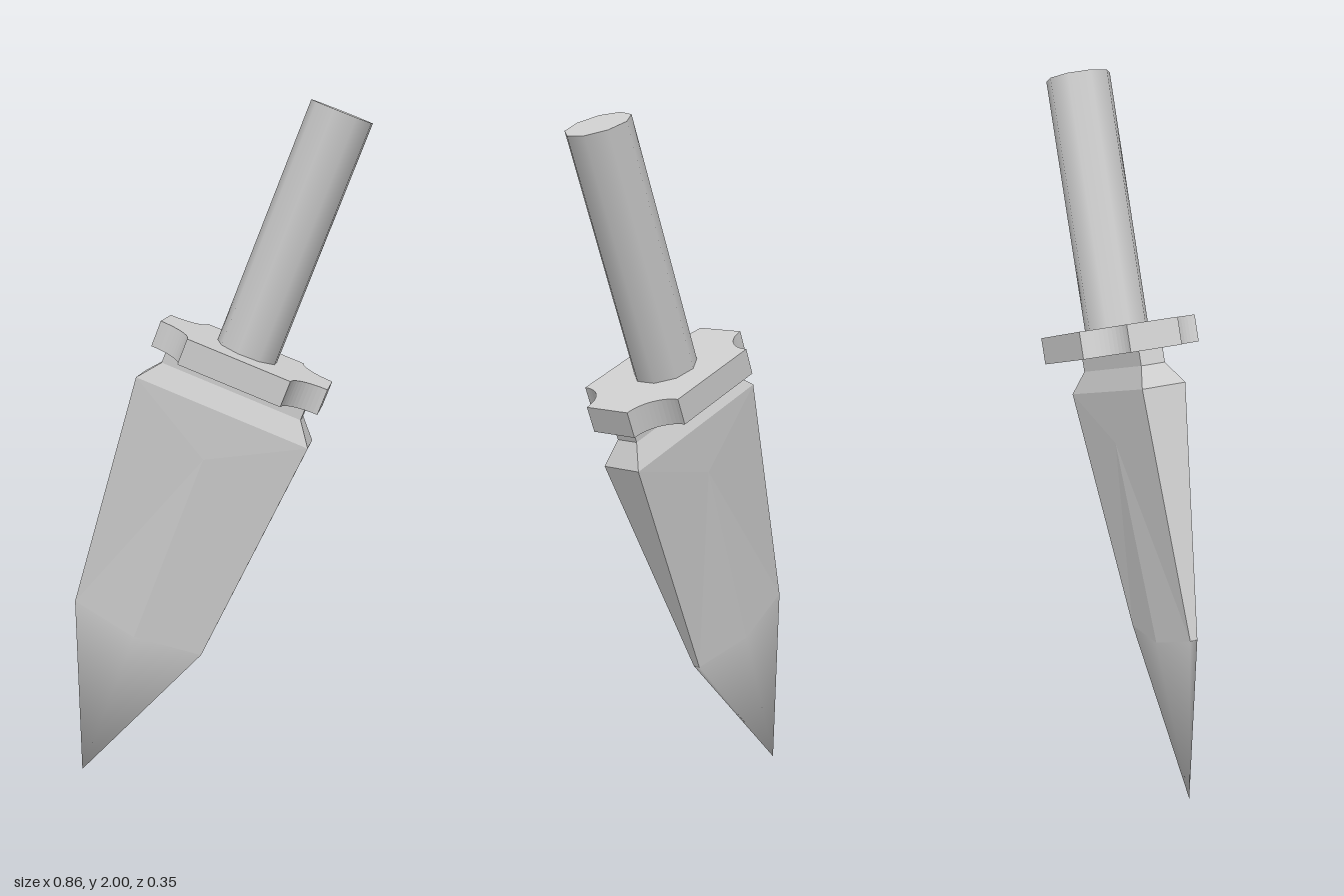
import * as THREE from 'three';

const steel = (flat) => new THREE.MeshStandardMaterial({ color: 0xcccccc, flatShading: flat });

function part(name, geometry, flat = false) {
  const mesh = new THREE.Mesh(geometry, steel(flat));
  mesh.name = name;
  return mesh;
}

function indexed(points, index) {
  const g = new THREE.BufferGeometry();
  g.setAttribute('position', new THREE.Float32BufferAttribute(points.flat(), 3));
  g.setIndex(index);
  g.computeVertexNormals();
  return g;
}

const back = ([x, y, z]) => [x, y, -z];

// Lower end of the blade body, shared with the point
const cornerL = [-0.205, -0.897, 0.011];
const cornerR = [0.205, -0.897, 0.011];
const ridge = [0, -0.922, 0.028];

// Faceted blade: narrow neck, flared shoulder, taper to the lower corners
function bladeBody() {
  const front = [
    [-0.215, -0.07, 0.036], [0.215, -0.07, 0.036],   // neck top
    [-0.215, -0.118, 0.036], [0.215, -0.118, 0.036], // neck bottom
    [-0.265, -0.18, 0.065], [0.265, -0.18, 0.065],   // shoulder
    [0, -0.33, 0.059],                               // start of the ridge
    cornerL, cornerR, ridge,
  ];
  const n = front.length;
  const faces = [
    [0, 2, 3], [0, 3, 1], [2, 4, 5], [2, 5, 3], [4, 6, 5],
    [4, 7, 6], [6, 7, 9], [6, 9, 8], [6, 8, 5],
  ];
  const index = [];
  for (const [a, b, c] of faces) index.push(a, b, c, a + n, c + n, b + n);
  // Narrow side faces joining front and back
  const side = (a, b, c, d) => index.push(a, b, c, a, c, d);
  for (const [a, b] of [[0, 2], [2, 4], [4, 7]]) side(a + n, b + n, b, a);
  for (const [a, b] of [[1, 3], [3, 5], [5, 8]]) side(a, b, b + n, a + n);
  return indexed([...front, ...front.map(back)], index);
}

// Smooth six-sided point
function bladePoint() {
  const ring = [cornerL, ridge, cornerR, back(cornerR), back(ridge), back(cornerL)];
  const index = [];
  for (let i = 0; i < 6; i++) index.push(i, 6, (i + 1) % 6);
  return indexed([...ring, [0, -1.394, 0]], index);
}

// Plate with a round notch cut from each corner
function guardPlate() {
  const w = 0.254, d = 0.177, r = 0.1;
  const shape = new THREE.Shape();
  [[1, 1], [-1, 1], [-1, -1], [1, -1]].forEach(([sx, sz], k) => {
    const start = -Math.PI / 2 + (k * Math.PI) / 2;
    if (k === 0) shape.moveTo(w, d - r);
    shape.absarc(sx * w, sz * d, r, start, start - Math.PI / 2, true);
  });
  shape.closePath();
  const g = new THREE.ExtrudeGeometry(shape, { depth: 0.077, bevelEnabled: false, curveSegments: 6 });
  return g.rotateX(Math.PI / 2);
}

export function createModel() {
  const model = new THREE.Group();
  model.name = 'dagger';

  // Local origin: centre of the guard's top face, y along the dagger
  const dagger = new THREE.Group();
  dagger.name = 'tiltedDagger';
  dagger.position.set(0.0825, 1.3, 0);
  dagger.rotation.z = -THREE.MathUtils.degToRad(21.3);
  model.add(dagger);

  // Nine-sided grip
  const grip = new THREE.CylinderGeometry(0.093, 0.093, 0.738, 9);
  grip.rotateY(-Math.PI / 2).translate(0, 0.349, 0);

  dagger.add(
    part('handle', grip),
    part('guard', guardPlate()),
    part('blade', bladeBody(), true),
    part('bladePoint', bladePoint()),
  );
  return model;
}
